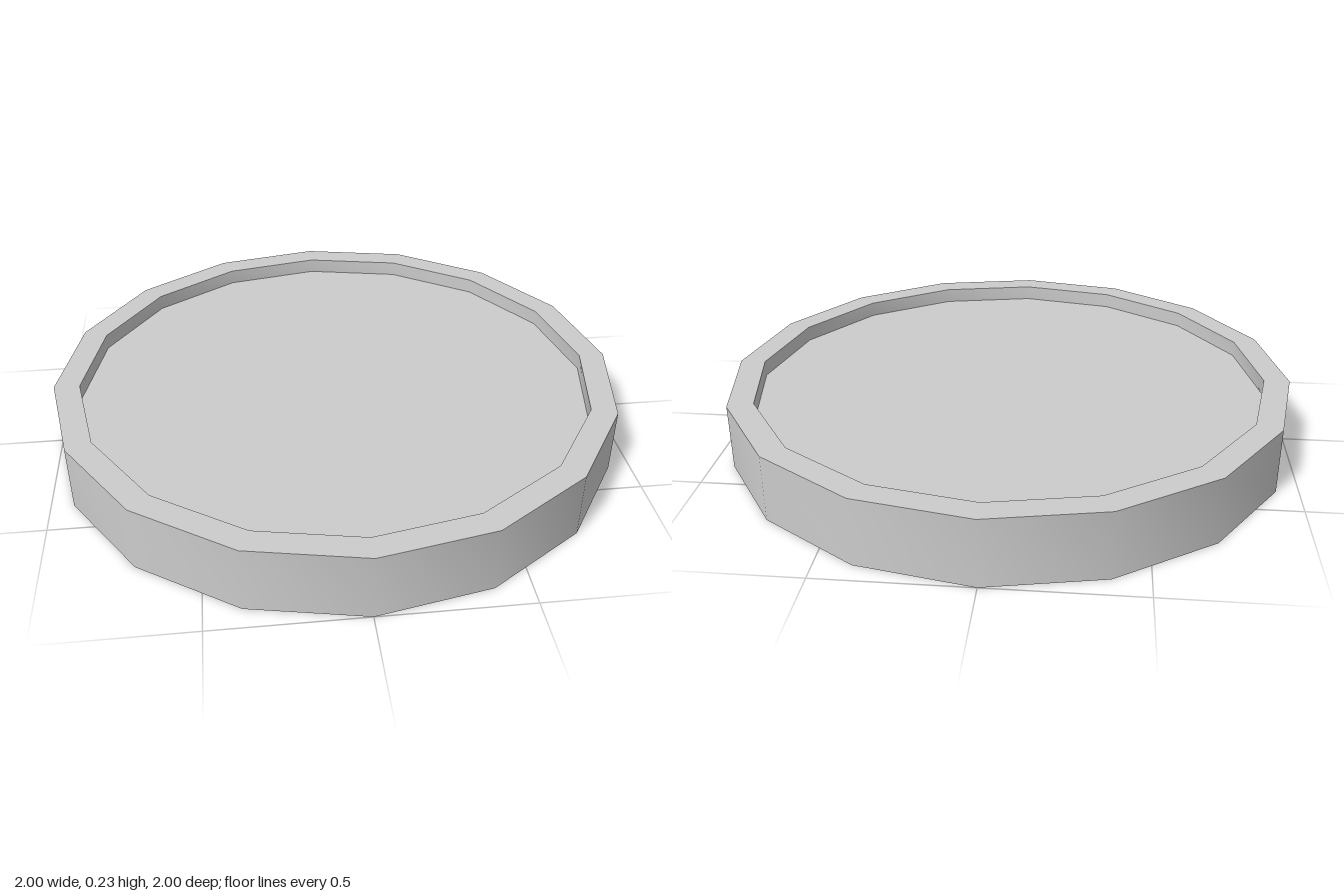
import * as THREE from 'three';
import { toCreasedNormals } from 'three/addons/utils/BufferGeometryUtils.js';

const SIDES = 16;
const HEIGHT = 0.23;
const OUTER = 1;
const INNER = 0.91;
const RECESS = 0.055; // depth of the panel below the rim, on both faces

export function createModel() {
  const group = new THREE.Group();
  group.name = 'recessedDisc';

  // Half cross-section: underside panel, raised rim, top panel
  const profile = [
    [0, RECESS],
    [INNER, RECESS],
    [INNER, 0],
    [OUTER, 0],
    [OUTER, HEIGHT],
    [INNER, HEIGHT],
    [INNER, HEIGHT - RECESS],
    [0, HEIGHT - RECESS],
  ].map(([r, y]) => new THREE.Vector2(r, y));

  // Smooth around the walls, sharp at the rim corners
  const geometry = toCreasedNormals(new THREE.LatheGeometry(profile, SIDES), 0.6);
  const disc = new THREE.Mesh(geometry, new THREE.MeshStandardMaterial({ color: 0xcccccc }));
  disc.name = 'rimmedDisc';
  group.add(disc);

  return group;
}
